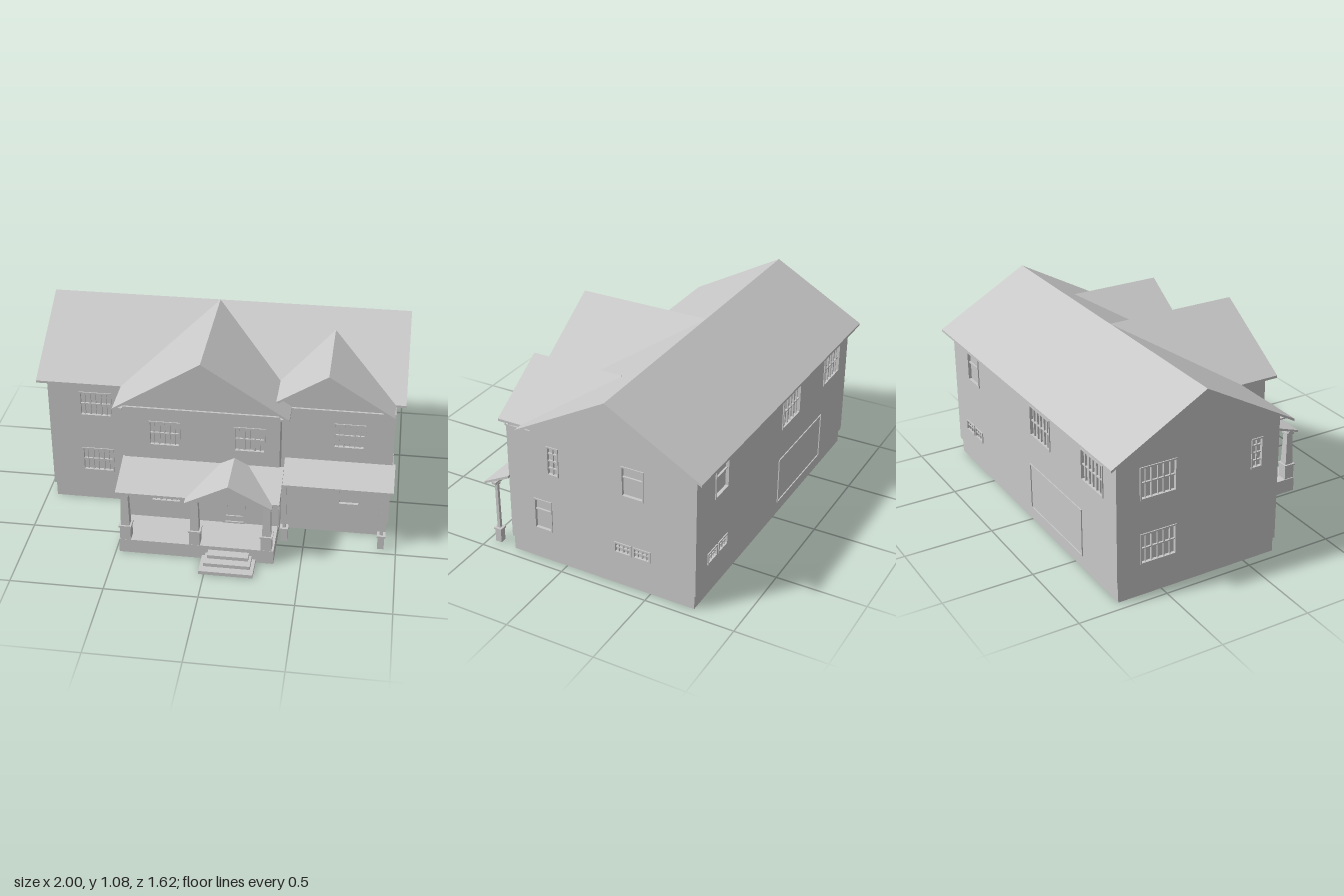
import * as THREE from 'three';

const grey = new THREE.MeshStandardMaterial({ color: 0xc8c8c8 });
grey.name = 'plain grey';

// Windows: wall, wall plane, span along the wall, height span, columns, bar heights (0 to 1)
const GRID = [0.5], SASH = [0.64], SMALL = [0.25, 0.5, 0.75];
const WINDOWS = [
  ['front', 0.19, -0.78, -0.6, 0.55, 0.7, 6, GRID], ['front', 0.19, -0.78, -0.6, 0.19, 0.34, 6, GRID],
  ['front', 0.44, -0.345, -0.175, 0.55, 0.7, 6, GRID], ['front', 0.44, -0.345, -0.175, 0.19, 0.34, 6, GRID],
  ['front', 0.44, 0.11, 0.28, 0.55, 0.7, 6, GRID], ['front', 0.335, 0.63, 0.8, 0.55, 0.7, 6, GRID],
  ['front', 0.335, 0.67, 0.79, 0.187, 0.37, 1, []],
  ['right', 0.95, 0.025, 0.095, 0.54, 0.71, 2, SMALL], ['right', 0.95, -0.47, -0.34, 0.55, 0.725, 1, SASH],
  ['right', 0.95, 0.075, 0.185, 0.19, 0.375, 1, SASH],
  ['right', 0.95, -0.395, -0.295, 0.2, 0.265, 4, GRID], ['right', 0.95, -0.505, -0.405, 0.2, 0.265, 4, GRID],
  ['left', -0.955, 0.02, 0.09, 0.54, 0.71, 2, SMALL], ['left', -0.955, -0.63, -0.42, 0.55, 0.73, 6, GRID],
  ['left', -0.955, -0.63, -0.42, 0.187, 0.36, 6, GRID],
  ['back', -0.76, 0.61, 0.755, 0.55, 0.725, 1, SASH], ['back', -0.76, -0.27, -0.04, 0.54, 0.72, 6, GRID],
  ['back', -0.76, -0.83, -0.605, 0.54, 0.72, 6, GRID],
  ['back', -0.76, 0.605, 0.71, 0.2, 0.265, 4, GRID], ['back', -0.76, 0.72, 0.825, 0.2, 0.265, 4, GRID],
];
const T = 0.012;        // wall thickness in front of the panes
const FLOOR = 0.185;    // underside of the rooms, seen from below

export function createModel() {
  const house = new THREE.Group();
  house.name = 'house';

  const add = (name, geo, parent = house) => {
    const m = new THREE.Mesh(geo, grey);
    m.name = name;
    parent.add(m);
    return m;
  };
  // Box given by its limits on each axis
  const box = (name, x0, x1, y0, y1, z0, z1, parent) =>
    add(name, new THREE.BoxGeometry(x1 - x0, y1 - y0, z1 - z0)
      .translate((x0 + x1) / 2, (y0 + y1) / 2, (z0 + z1) / 2), parent);
  const vec = pts => pts.map(p => new THREE.Vector2(...p));
  const extrude = (pts, depth, holes = []) => {
    const shape = new THREE.Shape(vec(pts));
    shape.holes = holes.map(h => new THREE.Path(vec(h)));
    return new THREE.ExtrudeGeometry(shape, { depth, bevelEnabled: false });
  };
  // Profile in (x, y) swept along z
  const prismZ = (name, pts, z0, z1, holes) => add(name, extrude(pts, z1 - z0, holes).translate(0, 0, z0));
  // Profile in (z, y) swept along x
  const flip = pts => pts.map(([z, y]) => [-z, y]);
  const prismX = (name, pts, x0, x1, holes = []) =>
    add(name, extrude(flip(pts), x1 - x0, holes.map(flip)).rotateY(Math.PI / 2).translate(x0, 0, 0));
  const rect = (a, b, y0, y1) => [[a, y0], [b, y0], [b, y1], [a, y1]];
  // Folded roof sheet: ridge in the middle, eaves at each side
  const chevron = (a, c, b, eave, ridge, t) =>
    [[a, eave], [c, ridge], [b, eave], [b, eave - t], [c, ridge - t], [a, eave - t]];
  // Wall outline with a pointed top
  const gabled = (a, c, b, y0, yw, yr) => [[a, y0], [b, y0], [b, yw], [c, yr], [a, yw]];

  // Open foundation ring, carried up inside the walls
  const plan = t => [[-0.945 + t, 0.75 - t], [-0.945 + t, -0.185 + t], [-0.48 + t, -0.185 + t], [-0.48 + t, -0.44 + t],
    [0.355 - t, -0.44 + t], [0.355 - t, -0.33 + t], [0.94 - t, -0.33 + t], [0.94 - t, 0.75 - t]];
  add('foundation', extrude(plan(0), 0.086, [plan(T)]).rotateX(-Math.PI / 2));
  add('innerFoundation', extrude(plan(T), FLOOR, [plan(T + 0.004)]).rotateX(-Math.PI / 2));
  box('floorBeam', 0.15, 0.17, 0.14, FLOOR + 0.01, -0.6, -0.12);

  // Rooms: solid cores whose faces are the window panes
  prismX('mainRooms', gabled(-0.76 + T, -0.28, 0.19 - T, FLOOR, 0.78, 1.05), -0.955 + T, 0.95 - T);
  prismZ('centreRooms', gabled(-0.48 + T, -0.06, 0.355 - T, FLOOR, 0.785, 1.05), 0, 0.44 - T);
  prismZ('rightRooms', gabled(0.3, 0.595, 0.95 - T, FLOOR, 0.755, 0.975), 0.1, 0.335 - T);

  // Walls with window openings
  const holesOf = (wall, at) => WINDOWS.filter(w => w[0] === wall && w[1] === at)
    .map(w => rect(w[2] + 0.004, w[3] - 0.004, w[4] + 0.004, w[5] - 0.004));
  prismZ('backWall', rect(-0.955, 0.95, 0.085, 0.79), -0.76, -0.76 + T, holesOf('back', -0.76));
  prismZ('frontLeftWall', rect(-0.955, -0.47, 0.085, 0.79), 0.19 - T, 0.19, holesOf('front', 0.19));
  prismZ('centreWall', gabled(-0.48, -0.06, 0.355, 0.085, 0.803, 1.068), 0.44 - T, 0.44, holesOf('front', 0.44));
  prismZ('rightBayWall', gabled(0.24, 0.595, 0.95, 0.085, 0.77, 0.993), 0.335 - T, 0.335, holesOf('front', 0.335));
  prismX('leftWall', gabled(-0.76, -0.28, 0.19, 0.085, 0.802, 1.069), -0.955, -0.955 + T, holesOf('left', -0.955));
  prismX('rightWall', [[-0.76, 0.085], [0.335, 0.085], [0.335, 0.768], [0.19, 0.768], [0.19, 0.804], [-0.28, 1.069], [-0.76, 0.802]],
    0.95 - T, 0.95, holesOf('right', 0.95));
  box('centreLeftWall', -0.48, -0.48 + T, 0.085, 0.79, 0.185, 0.44);
  box('centreRightWall', 0.355 - T, 0.355, 0.085, 0.79, 0.32, 0.44);

  // Roofs
  prismX('mainRoof', chevron(-0.81, -0.28, 0.248, 0.785, 1.08, 0.013), -1, 1);
  prismZ('centreGableRoof', chevron(-0.53, -0.06, 0.405, 0.785, 1.08, 0.014), -0.28, 0.481);
  prismZ('rightGableRoof', chevron(0.245, 0.595, 0.945, 0.785, 1.005, 0.014), -0.14, 0.386);
  box('frontSoffit', -0.955, -0.48, 0.773, 0.781, 0.19, 0.238);
  box('backSoffit', -0.955, 0.95, 0.773, 0.781, -0.8, -0.76);
  box('centreFrieze', -0.485, 0.36, 0.757, 0.783, 0.4, 0.452);
  box('rightFrieze', 0.355, 0.945, 0.757, 0.783, 0.3, 0.347);
  for (const [x0, x1] of [[-0.52, -0.48], [0.355, 0.395]])
    box('centreSoffit', x0, x1, 0.773, 0.782, 0.19, 0.47);

  // Porch floor and steps
  box('porchFloor', -0.48, 0.355, 0, 0.082, 0.44, 0.67);
  [[-0.03, 0.26, 0.02, 0.81], [-0.01, 0.24, 0.04, 0.765], [0.005, 0.225, 0.06, 0.72]]
    .forEach(([x0, x1, y, z]) => box('step', x0, x1, 0, y, 0.66, z));

  // Lean-to roofs over the porch and the right bay
  const leanTo = (name, x0, x1, zw, ze) =>
    prismX(name, [[ze, 0.375], [ze, 0.387], [zw, 0.468], [zw, 0.453]], x0, x1);
  leanTo('porchRoof', -0.49, 0.38, 0.435, 0.675);
  leanTo('rightPorchRoof', 0.375, 0.966, 0.33, 0.487);
  box('porchBeam', -0.475, 0.355, 0.368, 0.382, 0.622, 0.655);
  box('rightPorchBeam', 0.38, 0.945, 0.368, 0.382, 0.43, 0.455);

  // Small gable over the entrance
  prismZ('entranceGableRoof', chevron(-0.115, 0.115, 0.345, 0.385, 0.505, 0.012), 0.435, 0.72);
  prismZ('entrancePediment', [[-0.09, 0.372], [0.32, 0.372], [0.32, 0.382], [0.115, 0.495], [-0.09, 0.382]], 0.44, 0.685);

  // Tapered square columns on pedestals
  const taper = (name, x, z, y0, y1, w0, w1, parent) => {
    const g = new THREE.CylinderGeometry(w1 * Math.SQRT1_2, w0 * Math.SQRT1_2, y1 - y0, 4)
      .rotateY(Math.PI / 4).toNonIndexed();
    g.computeVertexNormals();
    add(name, g.translate(x, (y0 + y1) / 2, z), parent);
  };
  const column = (name, x, z, y0, yb, wb, w0, w1) => {
    const g = new THREE.Group();
    g.name = name;
    taper('pedestal', x, z, y0, yb, wb, wb, g);
    taper('pedestalCap', x, z, yb - 0.004, yb + 0.006, wb + 0.01, wb + 0.01, g);
    taper('shaft', x, z, yb, 0.375, w0, w1, g);
    taper('capital', x, z, 0.358, 0.37, w1 + 0.012, w1 + 0.012, g);
    house.add(g);
  };
  for (const x of [-0.445, -0.07, 0.315]) column('porchColumn', x, 0.64, 0.08, 0.165, 0.058, 0.048, 0.036);
  for (const x of [0.39, 0.917]) column('rightPost', x, 0.442, 0, 0.08, 0.036, 0.018, 0.016);

  // Downspout by the centre bay
  const pts = [[0.475, 0.372], [0.47, 0.355], [0.452, 0.335], [0.448, 0.31], [0.448, 0.085]];
  add('downspout', new THREE.TubeGeometry(new THREE.CatmullRomCurve3(
    pts.map(([z, y]) => new THREE.Vector3(0.363, y, z))), 16, 0.005, 6));

  // Window and door fittings: built facing +z, then turned to the wall
  const turns = { front: 0, back: Math.PI, right: Math.PI / 2, left: -Math.PI / 2 };
  const place = (name, wall, at, a0, a1, y0, y1, build) => {
    const g = new THREE.Group();
    g.name = name;
    build(g, (a1 - a0) / 2, (y1 - y0) / 2);
    const c = (a0 + a1) / 2, y = (y0 + y1) / 2;
    if (wall === 'front' || wall === 'back') g.position.set(c, y, at);
    else g.position.set(at, y, c);
    g.rotation.y = turns[wall];
    house.add(g);
  };
  const frame = (g, w, h, t, z0, z1) => {
    for (const s of [-1, 1]) {
      box('sideTrim', s * (w - t / 2) - t / 2, s * (w - t / 2) + t / 2, -h, h, z0, z1, g);
      box('crossTrim', -w + t, w - t, s * (h - t / 2) - t / 2, s * (h - t / 2) + t / 2, z0, z1, g);
    }
  };
  WINDOWS.forEach(([wall, at, a0, a1, y0, y1, cols, bars]) =>
    place('window', wall, at, a0, a1, y0, y1, (g, w, h) => {
      frame(g, w, h, 0.008, -T, 0.006);
      for (let i = 1; i < cols; i++) {
        const x = -w + 2 * w * i / cols, r = i % 2 ? 0.002 : 0.004;
        box('mullion', x - r, x + r, -h, h, -T, -0.002, g);
      }
      for (const b of bars) {
        const y = -h + 2 * h * b;
        box('bar', -w, w, y - 0.003, y + 0.003, -T, -0.001, g);
      }
    }));

  place('frontDoor', 'front', 0.44, 0.055, 0.175, 0.085, 0.35, (g, w, h) => {
    frame(g, w, h, 0.009, 0, 0.009);
    box('glassPanel', -0.021, 0.044, -0.015, 0.105, 0, 0.008, g);
    box('lowerPanel', -0.045, 0.045, -0.095, -0.085, 0, 0.008, g);
    box('handle', -0.042, -0.036, -0.03, 0, 0, 0.009, g);
  });
  place('garageDoor', 'back', -0.76, -0.6, -0.02, 0.087, 0.36, (g, w, h) => frame(g, w, h, 0.006, 0, 0.006));

  return house;
}
